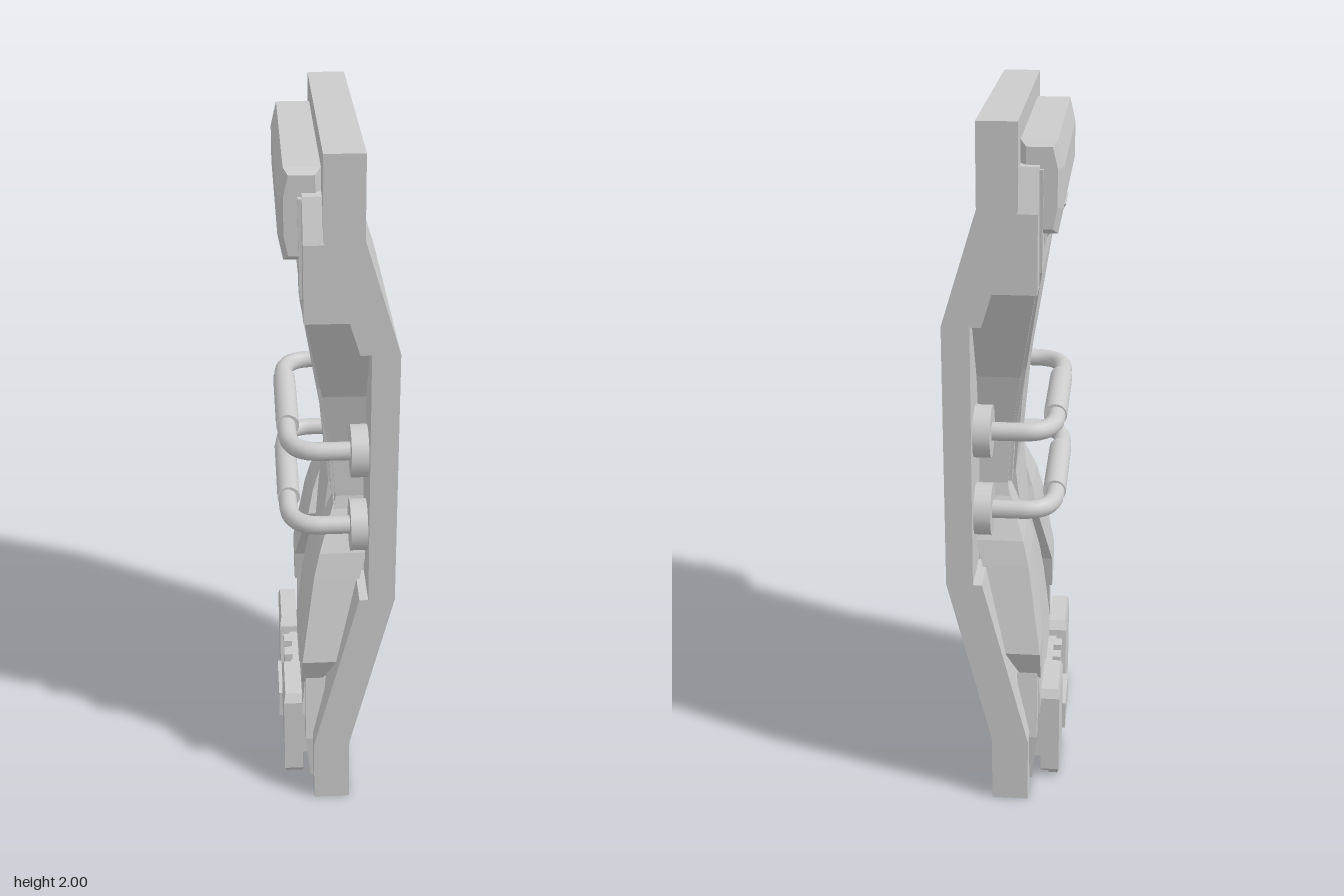
import * as THREE from 'three';

const material = new THREE.MeshStandardMaterial({ color: 0xcccccc, flatShading: true });
const smooth = new THREE.MeshStandardMaterial({ color: 0xcccccc });

// Solid lofted upward through rectangles: rows of [y, xOuter, xInner, zMin, zMax]
function loft(rows) {
  const rings = rows.map(([y, xo, xi, a, b]) => [[xo, y, a], [xo, y, b], [xi, y, b], [xi, y, a]]);
  const pos = [];
  const quad = (a, b, c, d) => pos.push(...a, ...b, ...c, ...a, ...c, ...d);
  for (let i = 0; i + 1 < rings.length; i++) {
    for (let k = 0; k < 4; k++) {
      const n = (k + 1) % 4;
      quad(rings[i][k], rings[i][n], rings[i + 1][n], rings[i + 1][k]);
    }
  }
  const [a, b, c, d] = rings[0];
  quad(a, d, c, b);
  quad(...rings[rings.length - 1]);
  const g = new THREE.BufferGeometry();
  g.setAttribute('position', new THREE.Float32BufferAttribute(pos, 3));
  g.computeVertexNormals();
  return g;
}

// Profile in x and y, extruded between two z values
function extrude(points, z0, z1, bevel = 0) {
  const shape = new THREE.Shape(points.map(p => new THREE.Vector2(...p)));
  const g = new THREE.ExtrudeGeometry(shape, {
    depth: z1 - z0 - 2 * bevel, bevelEnabled: bevel > 0,
    bevelThickness: bevel, bevelSize: bevel * 0.75, bevelSegments: 1,
  });
  return g.translate(0, 0, z0 + bevel);
}

export function createModel() {
  const model = new THREE.Group();
  const add = (name, geometry, mat = material) => {
    const mesh = new THREE.Mesh(geometry, mat);
    mesh.name = name;
    model.add(mesh);
    return mesh;
  };
  const box = (name, x0, x1, y0, y1, z0, z1) =>
    add(name, new THREE.BoxGeometry(x1 - x0, y1 - y0, z1 - z0))
      .position.set((x0 + x1) / 2, (y0 + y1) / 2, (z0 + z1) / 2);
  const sym = rows => rows.map(([y, xo, xi, w]) => [y, xo, xi, -w, w]);
  const flip = rows => rows.map(([y, xo, xi, a, b]) => [y, xo, xi, -b, -a]);
  const pair = (name, rows) => {
    add(name, loft(rows));
    add(name, loft(flip(rows)));
  };

  // Bent backing slab
  add('backingSlab', extrude([
    [0.035, 0], [0.035, 0.205], [0.16, 0.715], [0.16, 1.47], [0.065, 1.78], [0.065, 2],
    [-0.04, 2], [-0.04, 1.78], [0.055, 1.47], [0.085, 1.47], [0.085, 0.715], [0.06, 0.715],
    [-0.07, 0.2], [-0.07, 0],
  ], -0.4, 0.4));

  // Shoulder block with sloped ends and the waisted frame below it
  add('shoulderBlock', loft(sym([
    [1.56, -0.09, 0.05, 0.4], [1.77, -0.09, 0, 0.4], [1.88, -0.09, -0.02, 0.355],
  ])));
  add('waistFrame', loft(sym([
    [0.45, -0.03, 0.03, 0.27], [0.78, -0.02, 0.1, 0.24], [0.94, 0.005, 0.1, 0.2],
    [1.08, -0.005, 0.1, 0.2], [1.28, -0.035, 0.1, 0.25], [1.56, -0.085, 0.1, 0.4],
  ])));

  // Raised centre panel, narrow at the waist
  add('centrePanel', loft(sym([
    [0.2, -0.1, -0.04, 0.25], [0.45, -0.075, 0, 0.21], [0.75, -0.035, 0.05, 0.13],
    [0.95, -0.012, 0.05, 0.13], [1.2, -0.035, 0.05, 0.165], [1.72, -0.105, -0.02, 0.24],
  ])));
  // Rim strips beside the panel
  pair('rimStrip', [
    [0.94, -0.006, 0.05, 0.15, 0.185], [1.1, -0.016, 0.05, 0.155, 0.19],
    [1.3, -0.05, 0.03, 0.19, 0.235], [1.6, -0.097, 0, 0.26, 0.33], [1.87, -0.1, -0.04, 0.28, 0.345],
  ]);

  // Splayed lower legs with undercut tips
  pair('lowerLeg', [
    [0.36, -0.1, -0.045, 0.255, 0.3], [0.47, -0.1, 0, 0.235, 0.355],
    [0.72, -0.062, 0.07, 0.07, 0.29], [0.79, -0.045, 0.09, 0.1, 0.27], [0.92, 0, 0.09, 0.14, 0.2],
  ]);
  // Thin struts from the leg tips to the foot
  pair('footStrut', [
    [0.03, -0.078, -0.05, 0.305, 0.335], [0.18, -0.092, -0.05, 0.3, 0.345],
    [0.38, -0.09, -0.03, 0.27, 0.31],
  ]);

  // Top pad with bevelled ends and its bracket
  add('topPad', extrude([
    [-0.055, 1.715], [-0.055, 1.925], [-0.122, 1.925], [-0.135, 1.87], [-0.135, 1.77], [-0.124, 1.715],
  ], -0.332, 0.326, 0.02));
  add('padBracket', loft([
    [1.61, -0.09, -0.07, -0.02, 0], [1.72, -0.145, -0.07, -0.08, 0.05],
  ]));

  // Foot plate with split front pads and a latch
  box('footPlate', -0.125, -0.1, 0.01, 0.26, -0.28, 0.28);
  box('footMount', -0.105, -0.06, 0.04, 0.2, -0.24, 0.24);
  for (const s of [-1, 1]) {
    const pad = add('footPad', loft([
      [0, -0.15, -0.1, 0.09, 0.27], [0.03, -0.155, -0.1, 0.075, 0.295],
      [0.28, -0.155, -0.1, 0.1, 0.295], [0.305, -0.15, -0.1, 0.12, 0.28],
    ].map(r => (s > 0 ? r : flip([r])[0]))));
    pad.position.z = 0.005;
    const z = s * 0.035;
    box('latchBar', -0.145, -0.12, 0.02, 0.28, z - 0.02, z + 0.02);
  }
  box('latch', -0.165, -0.12, 0.05, 0.14, -0.1, 0.07);

  // Two pipe hoops with wall flanges and centre sleeves
  for (const y of [0.905, 1.14]) {
    const v = (x, z) => new THREE.Vector3(x, y, z);
    const path = new THREE.CurvePath();
    path.add(new THREE.LineCurve3(v(0.07, -0.3), v(-0.04, -0.3)));
    path.add(new THREE.QuadraticBezierCurve3(v(-0.04, -0.3), v(-0.13, -0.3), v(-0.13, -0.19)));
    path.add(new THREE.LineCurve3(v(-0.13, -0.19), v(-0.13, 0.19)));
    path.add(new THREE.QuadraticBezierCurve3(v(-0.13, 0.19), v(-0.13, 0.3), v(-0.04, 0.3)));
    path.add(new THREE.LineCurve3(v(-0.04, 0.3), v(0.07, 0.3)));
    add('pipeHoop', new THREE.TubeGeometry(path, 64, 0.026, 14), smooth);

    const sleeve = new THREE.CylinderGeometry(0.033, 0.033, 0.31, 18).rotateX(Math.PI / 2);
    add('pipeSleeve', sleeve, smooth).position.set(-0.127, y, -0.015);
    for (const z of [-0.3, 0.3]) {
      const flange = new THREE.CylinderGeometry(0.073, 0.073, 0.05, 24).rotateZ(Math.PI / 2);
      add('pipeFlange', flange, smooth).position.set(0.063, y, z);
    }
  }
  return model;
}
